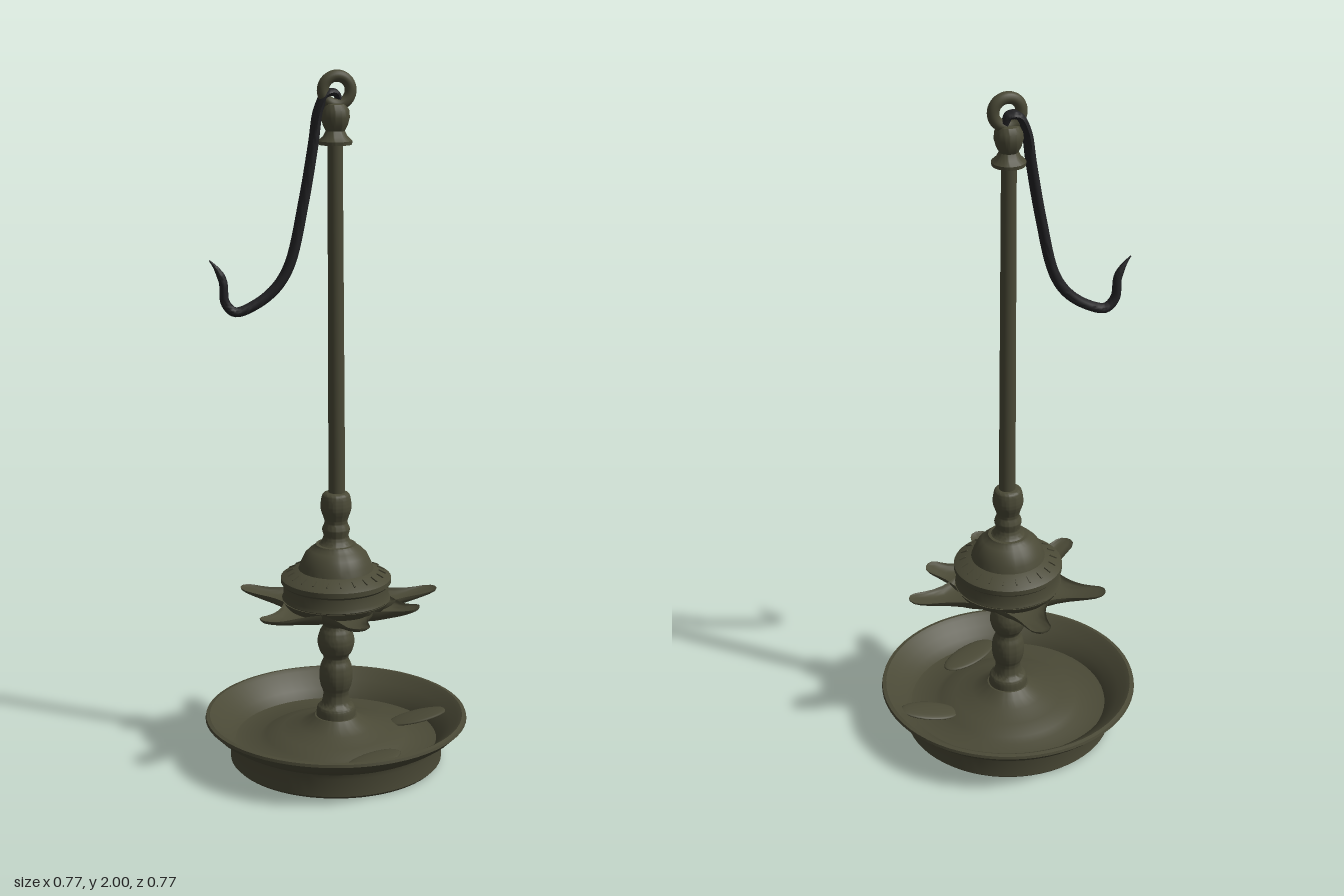
import * as THREE from 'three';
import { toCreasedNormals } from 'three/addons/utils/BufferGeometryUtils.js';

const V2 = (p) => new THREE.Vector2(p[0], p[1]);

// Turned part from [radius, height] points; smooth = run a spline through them
function turned(points, smooth = false, crease = 0.6) {
  let pts = points.map(V2);
  if (smooth) pts = new THREE.SplineCurve(pts).getPoints(points.length * 4);
  pts.forEach((p) => { p.x = Math.max(p.x, 0); });
  return toCreasedNormals(new THREE.LatheGeometry(pts, 64), crease);
}

// Skin a list of closed cross-sections (counter-clockwise seen from the far end)
function loft(sections, crease) {
  const n = sections[0].length, pos = [], idx = [];
  sections.forEach((s) => s.forEach((p) => pos.push(p.x, p.y, p.z)));
  for (let i = 0; i < sections.length - 1; i++) {
    for (let j = 0; j < n; j++) {
      const a = i * n + j, b = i * n + (j + 1) % n;
      idx.push(a, b, a + n, b, b + n, a + n);
    }
  }
  const last = (sections.length - 1) * n;
  for (let j = 1; j < n - 1; j++) idx.push(0, j + 1, j, last, last + j, last + j + 1);
  const g = new THREE.BufferGeometry();
  g.setAttribute('position', new THREE.Float32BufferAttribute(pos, 3));
  g.setIndex(idx);
  return toCreasedNormals(g, crease);
}

// Open wick spout along +x: stations are [distance, half width, rim height, channel depth, underside depth]
function spoutGeometry(reach) {
  const stations = [
    [0.05, 0.11, 0.492, 0.01, 0.06], [0.10, 0.098, 0.492, 0.015, 0.052],
    [0.135, 0.078, 0.49, 0.02, 0.045], [0.16, 0.06, 0.489, 0.021, 0.038],
    [0.19, 0.046, 0.488, 0.02, 0.031], [0.22, 0.038, 0.488, 0.016, 0.025],
    [0.25, 0.034, 0.49, 0.011, 0.019], [0.275, 0.031, 0.493, 0.007, 0.014],
    [0.292, 0.022, 0.495, 0.004, 0.01], [0.30, 0.008, 0.496, 0.001, 0.005],
  ];
  const n = 24;
  return loft(stations.map(([d, w, rim, channel, depth]) => {
    const x = d < 0.16 ? d : 0.16 + (d - 0.16) * (reach - 0.16) / 0.14;
    return Array.from({ length: n }, (_, j) => {
      const a = (j / n) * Math.PI * 2, s = Math.sin(a);
      return new THREE.Vector3(x, rim - (s > 0 ? channel * s : -depth * s), -w * Math.cos(a));
    });
  }), 0.8);
}

// Flattened hook tapering to a point
function hookGeometry() {
  const path = new THREE.CatmullRomCurve3([
    [0.012, 1.915], [0.0, 1.937], [-0.025, 1.935], [-0.048, 1.89], [-0.062, 1.8], [-0.09, 1.64],
    [-0.13, 1.47], [-0.17, 1.405], [-0.23, 1.36], [-0.285, 1.343],
    [-0.312, 1.37], [-0.318, 1.43], [-0.335, 1.465], [-0.355, 1.49],
  ].map(([x, y]) => new THREE.Vector3(x, y, -0.008)));
  const steps = 80, n = 12, sections = [];
  const width = new THREE.SplineCurve([[0, 0.018], [0.1, 0.026], [0.25, 0.023], [0.5, 0.019],
    [0.75, 0.016], [0.88, 0.014], [1, 0.002]].map(V2)).getPoints(steps);
  const side = new THREE.Vector3(0, 0, 1);
  for (let i = 0; i <= steps; i++) {
    const t = i / steps, c = path.getPoint(t), up = side.clone().cross(path.getTangent(t)).normalize();
    const w = Math.max(width[i].y, 0.002), thick = Math.min(w, 0.009 + 0.006 * Math.sin(Math.PI * t));
    sections.push(Array.from({ length: n }, (_, j) => {
      const a = (j / n) * Math.PI * 2;
      return c.clone().addScaledVector(up, thick * Math.sin(a)).addScaledVector(side, -w * Math.cos(a));
    }));
  }
  return loft(sections, 0.9);
}

export function createModel() {
  const model = new THREE.Group();
  model.name = 'hangingOilLamp';
  const bronze = new THREE.MeshStandardMaterial({ color: 0x4a4936 });
  bronze.name = 'agedBronze';
  const iron = new THREE.MeshStandardMaterial({ color: 0x232325 });
  iron.name = 'darkIron';
  const add = (name, geometry, material = bronze, parent = model) => {
    const mesh = new THREE.Mesh(geometry, material);
    mesh.name = name;
    parent.add(mesh);
    return mesh;
  };

  // Drip tray with flared rim, raised centre and hollow foot
  add('dripTray', turned([
    [0, 0.085], [0.03, 0.088], [0.06, 0.105], [0.09, 0.085], [0.13, 0.07], [0.205, 0.045], [0.215, 0],
    [0.302, 0], [0.31, 0.008], [0.308, 0.06], [0.312, 0.075], [0.335, 0.088], [0.36, 0.105],
    [0.374, 0.12], [0.383, 0.128], [0.381, 0.136], [0.37, 0.138], [0.357, 0.13], [0.335, 0.108],
    [0.31, 0.088], [0.295, 0.062], [0.225, 0.06], [0.205, 0.072], [0.16, 0.085], [0.11, 0.1],
    [0.08, 0.115], [0.062, 0.13], [0, 0.135]]));

  // Loose leaves lying in the tray
  [[0.05, 0.235, 0.53, 0.105], [0.255, -0.02, -0.1, 0.09]].forEach(([x, z, turn, length]) => {
    const leaf = add('trayLeaf', new THREE.SphereGeometry(1, 24, 12));
    leaf.scale.set(length, 0.009, 0.045);
    leaf.rotation.set(0, turn, z > 0.1 ? 0 : 0.2);
    leaf.position.set(x, z > 0.1 ? 0.078 : 0.09, z);
  });

  // Turned lower stem
  add('lowerStem', turned([[0.058, 0.12], [0.055, 0.155], [0.043, 0.168], [0.037, 0.2], [0.045, 0.225],
    [0.049, 0.255], [0.045, 0.285], [0.036, 0.31], [0.047, 0.33], [0.054, 0.36], [0.047, 0.39],
    [0.038, 0.41], [0.05, 0.432]], true));

  // Oil bowl and its six spouts
  add('oilBowl', turned([[0.038, 0.41], [0.05, 0.427], [0.08, 0.438], [0.115, 0.452], [0.145, 0.472],
    [0.157, 0.492], [0, 0.492]]));
  const tips = [[0.305, -0.012], [-0.01, -0.29], [-0.248, -0.155], [-0.248, 0.155], [0.002, 0.285], [0.205, 0.152]];
  tips.forEach(([x, z]) => {
    add('spout', spoutGeometry(Math.hypot(x, z))).rotation.y = Math.atan2(-z, x);
  });

  // Domed lid with a banded edge
  add('lid', turned([[0.15, 0.488], [0.156, 0.495], [0.152, 0.505], [0.152, 0.535], [0.159, 0.542],
    [0.159, 0.556], [0.15, 0.562], [0.118, 0.578], [0.108, 0.582], [0.102, 0.6], [0.09, 0.625],
    [0.075, 0.64], [0.062, 0.648], [0.058, 0.655], [0, 0.66]]));
  for (let i = 0; i < 22; i++) {
    const a = (i / 22) * Math.PI * 2;
    const notch = add('lidMark', new THREE.BoxGeometry(0.022, 0.005, 0.004));
    notch.position.set(0.133 * Math.cos(a), 0.572, -0.133 * Math.sin(a));
    notch.rotation.set(0, a, -0.46, 'YXZ');
  }

  // Neck above the lid
  add('neck', turned([[0.062, 0.645], [0.045, 0.66], [0.036, 0.68], [0.04, 0.7], [0.033, 0.72],
    [0.036, 0.735], [0.044, 0.76], [0.043, 0.785], [0.037, 0.805], [0.02, 0.81]], true));

  // Long hanging rod
  const rod = add('rod', new THREE.CylinderGeometry(0.021, 0.024, 1.02, 32));
  rod.position.set(0, 1.3, 0);
  rod.rotation.z = 0.005;

  // Finial and hanging ring
  const top = new THREE.Group();
  top.name = 'finial';
  top.position.x = -0.002;
  model.add(top);
  add('finialTurning', turned([[0, 1.798], [0.046, 1.798], [0.047, 1.808], [0.034, 1.82], [0.026, 1.835],
    [0.034, 1.85], [0.04, 1.872], [0.038, 1.892], [0.028, 1.907], [0, 1.915]]), bronze, top);
  const ring = add('hangingRing', new THREE.TorusGeometry(0.039, 0.0165, 16, 40), bronze, top);
  ring.position.set(0.004, 1.9445, 0);

  // Hook hanging from the ring
  add('hook', hookGeometry(), iron);
  return model;
}
